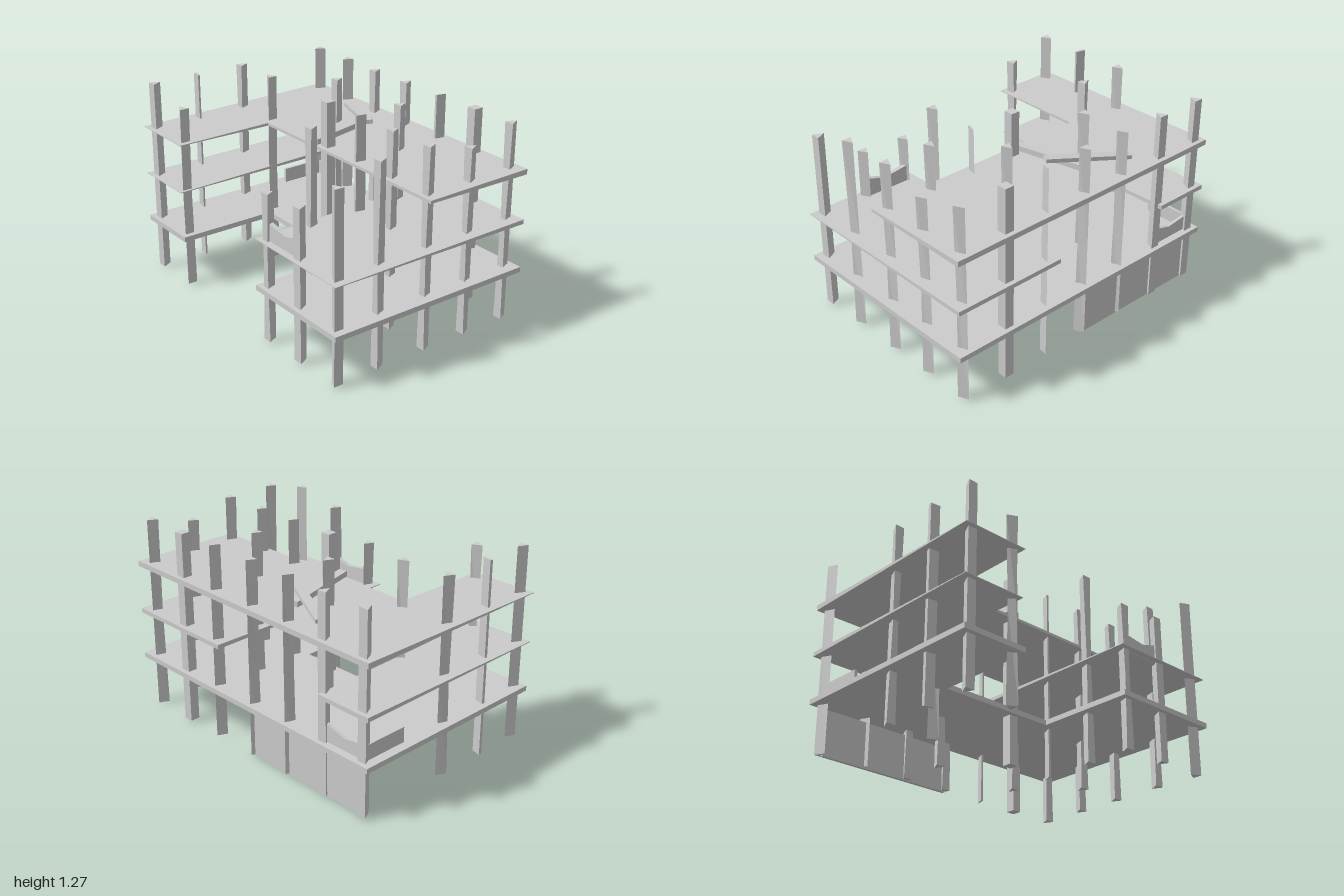
import * as THREE from 'three';

const material = new THREE.MeshStandardMaterial({ color: 0xcccccc, flatShading: true, side: THREE.DoubleSide });

// Extrudes an outline given as [x, -z] pairs upward from y0 to y1
function prism(points, y0, y1, steps = 1) {
  const shape = new THREE.Shape(points.map(([x, y]) => new THREE.Vector2(x, y)));
  const geo = new THREE.ExtrudeGeometry(shape, { depth: y1 - y0, steps, bevelEnabled: false });
  return geo.rotateX(-Math.PI / 2).translate(0, y0, 0);
}

// Moves every vertex by a rule
function reshape(geo, rule) {
  const p = geo.attributes.position;
  const v = new THREE.Vector3();
  for (let i = 0; i < p.count; i++) {
    rule(v.fromBufferAttribute(p, i));
    p.setXYZ(i, v.x, v.y, v.z);
  }
  geo.computeVertexNormals();
  return geo;
}

export function createModel() {
  const model = new THREE.Group();
  const add = (name, geo) => {
    const mesh = new THREE.Mesh(geo, material);
    mesh.name = name;
    model.add(mesh);
    return mesh;
  };

  // Lowest floor: full U-shaped slab
  add('lowerFloor', prism([
    [-1, -0.69], [-0.56, -0.69], [-0.56, -0.04], [0.24, -0.04],
    [0.24, -0.69], [1, -0.69], [1, 0.7], [-1, 0.7],
  ], 0.325, 0.358));

  // Upper floors thin out towards the front
  const thinSlab = (name, outline, y, thick) => {
    const geo = prism(outline, -0.5, 0.5);
    add(name, reshape(geo, (v) => {
      const t = THREE.MathUtils.mapLinear(v.z, -0.7, 0.69, thick, 0.004);
      v.y = y + v.y * t;
    }));
  };
  thinSlab('middleFloorRight', [[-1, -0.69], [-0.58, -0.69], [-0.62, 0.7], [-1, 0.7]], 0.655, 0.028);
  thinSlab('middleFloorLeft', [[0.24, -0.69], [1, -0.69], [1, 0.7], [0.24, 0.7]], 0.655, 0.028);
  thinSlab('upperFloor', [
    [-1, -0.69], [-0.56, -0.69], [-0.56, -0.04], [1, -0.04], [1, 0.7], [-1, 0.7],
  ], 0.973, 0.034);

  // Columns: one letter per grid crossing, lower case = straight, upper case = pinched in the middle
  const r = 0.031;
  const sections = {
    a: [[-r, -r], [r, -r], [0, r]],
    v: [[-r, r], [0, -r], [r, r]],
    l: [[-r, 0], [r, -r], [r, r]],
    s: [[-r * 0.4, -r], [r * 0.1, -r], [r * 0.5, r]],
    w: [[-r, -r * 0.3], [r, -r * 0.5], [r, -r * 0.1], [-r, r * 0.4]],
    b: [[-r, -r], [r, -r], [r, r], [-r, r]],
  };
  const columnX = [-0.93, -0.62, -0.31, -0.005, 0.305, 0.61, 0.92];
  const rows = [
    [-0.64, 'vvAAsbA'],
    [-0.33, '..A.A.A'],
    [-0.02, 'AL.bsAA'],
    [0.325, 'w...A.A'],
    [0.63, 'aL..Aal'],
  ];
  const brokenTops = { '6,1': 1.19, '1,4': 1.19, '6,4': 1.19, '4,4': 0.95, '5,4': 0.97 };
  rows.forEach(([z, row], j) => [...row].forEach((kind, i) => {
    if (kind === '.') return;
    const top = brokenTops[`${i},${j}`] ?? 1.27;
    const geo = prism(sections[kind.toLowerCase()], 0.01, top, 2);
    const pinched = kind !== kind.toLowerCase();
    const mid = (0.01 + top) / 2;
    reshape(geo, (v) => {
      if (pinched && Math.abs(v.y - mid) < 0.1) v.x *= 0.6;
    });
    add('column', geo).position.set(columnX[i], 0, z);
  }));

  // Walls: upright outlines of x and y, given a small thickness
  const wall = (name, points, z, thick = 0.02) => {
    const shape = new THREE.Shape(points.map(([x, y]) => new THREE.Vector2(x, y)));
    const geo = new THREE.ExtrudeGeometry(shape, { depth: thick, bevelEnabled: false });
    return add(name, geo.translate(0, 0, z - thick / 2));
  };
  wall('basementWall', [[-0.93, 0], [0, 0], [0, 0.295], [-0.93, 0.295]], -0.64);
  wall('brokenBackWall', [
    [-0.93, 0.35], [-0.62, 0.35], [-0.62, 0.475], [-0.77, 0.435], [-0.93, 0.455],
  ], -0.64);
  wall('brokenFrontWall', [
    [0.305, 0.65], [0.61, 0.65], [0.61, 0.78], [0.48, 0.743], [0.305, 0.765],
  ], 0.63, 0.03);
  add('brokenSideWall', new THREE.BoxGeometry(0.02, 0.105, 0.29).translate(-0.93, 0.4025, -0.49));

  // Fallen beams on the upper floor
  const beam = (start, end, width, height) => {
    const a = new THREE.Vector3(...start);
    const b = new THREE.Vector3(...end);
    const mesh = add('fallenBeam', new THREE.BoxGeometry(width, height, a.distanceTo(b)));
    mesh.position.copy(a).lerp(b, 0.5);
    mesh.lookAt(b);
  };
  beam([-0.48, 1.012, -0.545], [0.01, 1.075, -0.32], 0.058, 0.025);
  beam([-0.19, 1.005, -0.48], [-0.06, 1.01, 0.045], 0.055, 0.035);

  return model;
}
